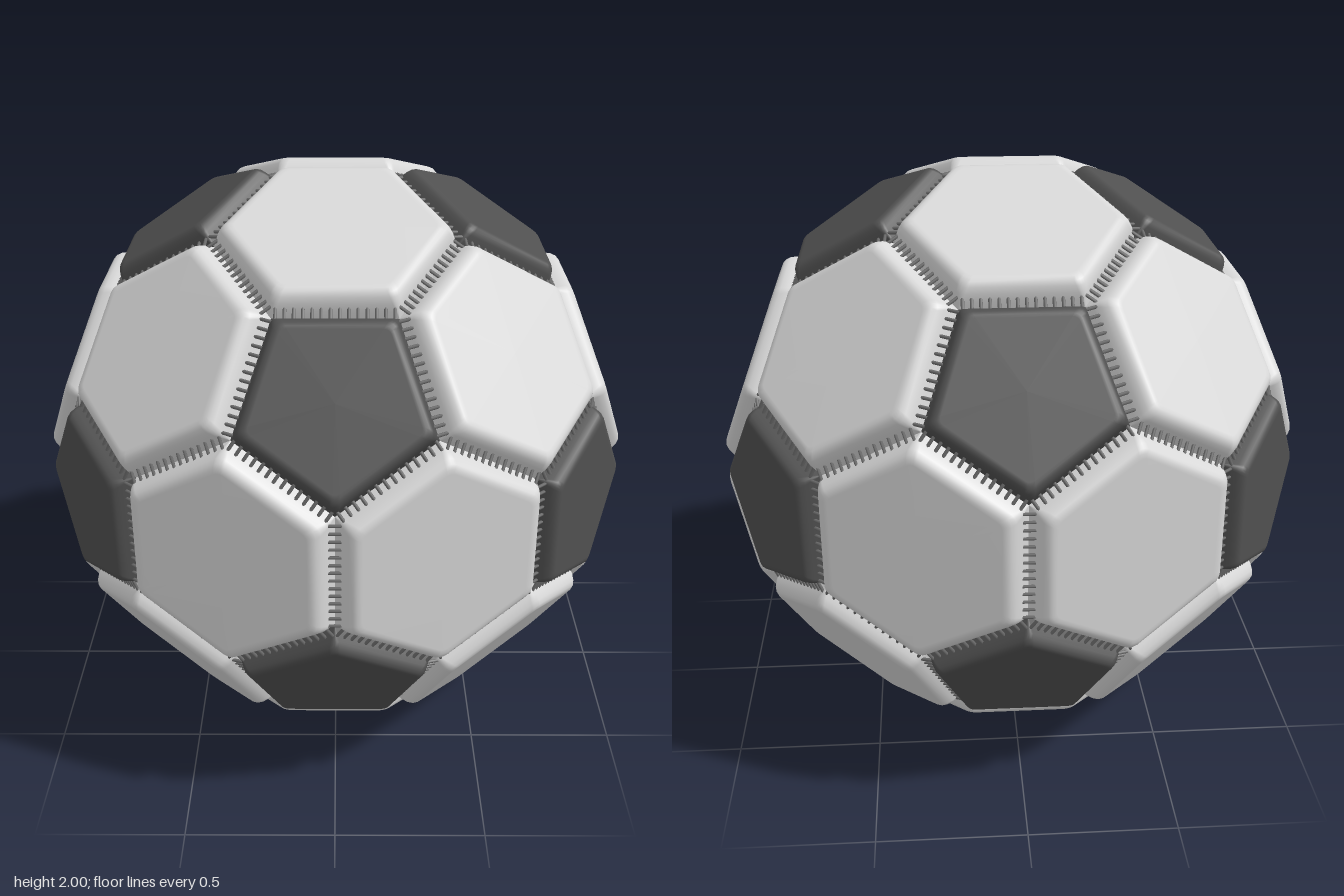
import * as THREE from 'three';
import { mergeGeometries } from 'three/addons/utils/BufferGeometryUtils.js';

const PHI = (1 + Math.sqrt(5)) / 2;
const SEAM = 0.3836;              // length of one seam
const SCALE = SEAM * 1.5;         // icosahedron with edge 2 -> ball size
const CORNER_STEPS = 4;

// Padded panel facing +z: rings of rounded polygons [apothem, height, corner radius]
function panelGeometry(sides, rings) {
  const pos = [], index = [];
  const half = Math.PI / sides;
  const count = sides * (CORNER_STEPS + 1);
  for (const [apothem, height, radius] of rings) {
    const reach = (apothem - radius) / Math.cos(half);
    for (let i = 0; i < sides; i++) {
      const corner = i * 2 * half;
      for (let k = 0; k <= CORNER_STEPS; k++) {
        const a = corner - half + (2 * half * k) / CORNER_STEPS;
        pos.push(
          reach * Math.cos(corner) + radius * Math.cos(a),
          reach * Math.sin(corner) + radius * Math.sin(a),
          height
        );
      }
    }
  }
  for (let r = 0; r < rings.length - 1; r++) {
    for (let i = 0; i < count; i++) {
      const j = (i + 1) % count;
      const a = r * count + i, b = r * count + j;
      index.push(a, b, b + count, a, b + count, a + count);
    }
  }
  // flat top
  const last = (rings.length - 1) * count;
  const centre = pos.length / 3;
  pos.push(0, 0, rings[rings.length - 1][1]);
  for (let i = 0; i < count; i++) index.push(last + i, last + ((i + 1) % count), centre);
  const geo = new THREE.BufferGeometry();
  geo.setAttribute('position', new THREE.Float32BufferAttribute(pos, 3));
  geo.setIndex(index);
  geo.computeVertexNormals();
  return geo;
}

// Turns local z to the normal and local x towards the given point
function facing(normal, towards) {
  const z = normal.clone().normalize();
  const x = towards.clone().addScaledVector(z, -towards.dot(z)).normalize();
  const y = new THREE.Vector3().crossVectors(z, x);
  return new THREE.Matrix4().makeBasis(x, y, z);
}

export function createModel() {
  const lightPanel = new THREE.MeshStandardMaterial({ color: 0xd8d8d8 });
  lightPanel.name = 'light panel';
  const darkPanel = new THREE.MeshStandardMaterial({ color: 0x505050 });
  darkPanel.name = 'dark panel';
  const thread = new THREE.MeshStandardMaterial({ color: 0x6a6a6a });
  thread.name = 'thread';

  const model = new THREE.Group();
  model.name = 'ball';
  const addPart = (name, geo, material, matrix) => {
    const mesh = new THREE.Mesh(geo, material);
    mesh.name = name;
    if (matrix) mesh.applyMatrix4(matrix);
    mesh.position.y += 1;
    model.add(mesh);
  };

  // Twelve guiding points, one under each five-sided panel
  const points = [];
  for (const s of [-1, 1]) {
    for (const t of [-PHI, PHI]) {
      points.push(
        new THREE.Vector3(0, s, t),
        new THREE.Vector3(t, 0, s),
        new THREE.Vector3(s, t, 0)
      );
    }
  }
  points.forEach(p => p.multiplyScalar(SCALE));
  const near = (a, b) => a !== b && a.distanceTo(b) < SCALE * 2.1;

  const pentagon = panelGeometry(5, [
    [0.264, 0.893, 0.001], [0.26, 0.92, 0.012], [0.255, 0.945, 0.022],
    [0.249, 0.961, 0.028], [0.24, 0.971, 0.028], [0.229, 0.975, 0.026], [0.22, 0.975, 0.024]
  ]);
  const hexagon = panelGeometry(6, [
    [0.3322, 0.8696, 0.001], [0.329, 0.895, 0.015], [0.324, 0.92, 0.028],
    [0.316, 0.94, 0.036], [0.305, 0.953, 0.036], [0.292, 0.959, 0.034], [0.278, 0.96, 0.03]
  ]);

  // Dark five-sided panels
  for (const p of points) {
    addPart('darkPanel', pentagon, darkPanel, facing(p, points.find(q => near(p, q))));
  }

  // Light six-sided panels, and the seams found on the way
  const seams = [];
  const third = (a, b) => a.clone().lerp(b, 1 / 3);
  const twist = new THREE.Matrix4().makeRotationZ(Math.PI / 6);
  for (let i = 0; i < 12; i++) {
    for (let j = i + 1; j < 12; j++) {
      const a = points[i], b = points[j];
      if (!near(a, b)) continue;
      seams.push([third(a, b), third(b, a)]);
      for (let k = j + 1; k < 12; k++) {
        const c = points[k];
        if (!near(a, c) || !near(b, c)) continue;
        const centre = a.clone().add(b).add(c);
        addPart('lightPanel', hexagon, lightPanel, facing(centre, a).multiply(twist));
        for (const [p, q, r] of [[a, b, c], [b, c, a], [c, a, b]]) {
          seams.push([third(p, q), third(p, r)]);
        }
      }
    }
  }

  // Short stitches laid across every seam
  const stitch = new THREE.CapsuleGeometry(0.0055, 0.042, 2, 6);
  const stitches = [];
  const perSeam = 14;
  for (const [start, end] of seams) {
    const out = start.clone().add(end).normalize();
    const along = end.clone().sub(start);
    const turn = facing(out, along);
    for (let n = 0; n < perSeam; n++) {
      const at = start.clone().lerp(end, (n + 0.5) / perSeam).addScaledVector(out, 0.03);
      stitches.push(stitch.clone().applyMatrix4(turn.clone().setPosition(at)));
    }
  }
  addPart('stitching', mergeGeometries(stitches), thread);

  return model;
}
